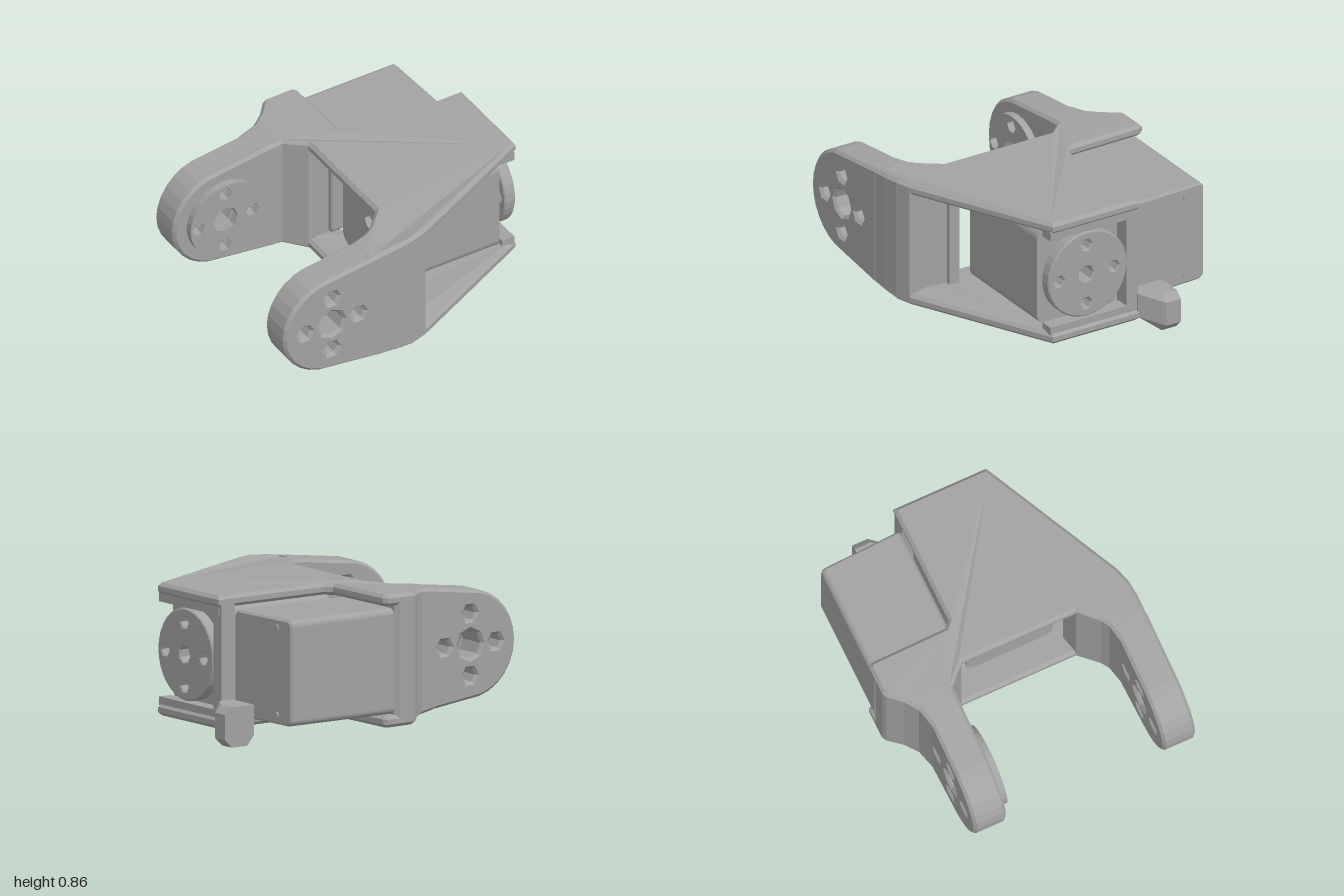
import * as THREE from 'three';
import { ConvexGeometry } from 'three/addons/geometries/ConvexGeometry.js';

const MID = 0.465; // height of all the axes

export function createModel() {
  const model = new THREE.Group();
  model.name = 'servoBracket';
  const grey = new THREE.MeshStandardMaterial({ color: 0xa2a2a2 });
  grey.name = 'grey';

  const add = (name, geometry) => {
    const mesh = new THREE.Mesh(geometry, grey);
    mesh.name = name;
    model.add(mesh);
    return mesh;
  };
  const shapeOf = (pts) => new THREE.Shape(pts.map(([x, y]) => new THREE.Vector2(x, y)));
  const ring = (cx, cy, r, n) => Array.from({ length: n }, (_, i) => {
    const a = (i / n) * Math.PI * 2;
    return [cx + r * Math.cos(a), cy + r * Math.sin(a)];
  });
  const addHoles = (shape, holes) => {
    for (const [x, y, r, n] of holes) {
      shape.holes.push(new THREE.Path(ring(x, y, r, n).map(([a, b]) => new THREE.Vector2(a, b))));
    }
    return shape;
  };
  // Extrusion with total thickness t and chamfer b inside the outline
  const extrude = (shape, t, b = 0) => {
    const g = new THREE.ExtrudeGeometry(shape, {
      depth: t - 2 * b, bevelEnabled: b > 0, bevelThickness: b, bevelSize: b,
      bevelOffset: -b, bevelSegments: 1, curveSegments: 6,
    });
    return g.translate(0, 0, b);
  };
  // Extrude a floor plan of [x, z] points upward between two heights
  const plan = (pts, y0, y1, b = 0) =>
    extrude(shapeOf(pts.map(([x, z]) => [x, -z])), y1 - y0, b).rotateX(-Math.PI / 2).translate(0, y0, 0);
  // Extrude a [-z, y] shape along x
  const alongX = (shape, x0, x1, b = 0) =>
    extrude(shape, x1 - x0, b).rotateY(Math.PI / 2).translate(x0, 0, 0);
  const box = (x0, x1, y0, y1, z0, z1) =>
    new THREE.BoxGeometry(x1 - x0, y1 - y0, z1 - z0).translate((x0 + x1) / 2, (y0 + y1) / 2, (z0 + z1) / 2);
  // Height narrows toward the arm tips
  const taper = (g) => {
    const p = g.attributes.position;
    for (let i = 0; i < p.count; i++) {
      const s = 1 - 0.27 * Math.max(0, -0.1 - p.getX(i));
      p.setY(i, MID + (p.getY(i) - MID) * s);
    }
    g.computeVertexNormals();
    return g;
  };
  const roundRect = (x0, x1, y0, y1, r) => {
    const s = new THREE.Shape();
    s.moveTo(x0 + r, y0);
    s.lineTo(x1 - r, y0);
    s.absarc(x1 - r, y0 + r, r, -Math.PI / 2, 0);
    s.lineTo(x1, y1 - r);
    s.absarc(x1 - r, y1 - r, r, 0, Math.PI / 2);
    s.lineTo(x0 + r, y1);
    s.absarc(x0 + r, y1 - r, r, Math.PI / 2, Math.PI);
    s.lineTo(x0, y0 + r);
    s.absarc(x0 + r, y0 + r, r, Math.PI, Math.PI * 1.5);
    return s;
  };

  // Top and bottom plates of the body
  const frontOuter = [[-0.42, 0.8], [-0.2, 0.8], [-0.1, 0.79], [0, 0.76]];
  const frontInner = [[-0.14, 0.43], [-0.25, 0.54], [-0.3, 0.57], [-0.42, 0.595]];
  const backInner = [[-0.42, -0.42], [-0.25, -0.42], [-0.14, -0.31]];
  const backOuter = [[-0.12, -0.815], [-0.15, -0.8], [-0.22, -0.72], [-0.3, -0.66], [-0.42, -0.63]];
  const outline = [
    ...frontOuter, [0.86, 0.345], [0.89, 0.33], [0.89, -0.27], [0.13, -0.27], [0.09, -0.31],
    [0.08, -0.79], [0.06, -0.815], ...backOuter, ...backInner, ...frontInner,
  ];
  add('topPlate', taper(plan(outline, 0.79, 0.86, 0.02)));
  add('bottomPlate', taper(plan(outline, 0.07, 0.14, 0.02)));

  // Solid walls joining the plates at the root of each arm
  add('frontWall', taper(plan([...frontOuter, [0, 0.5], [0.03, 0.5], [0.03, 0.43], [-0.02, 0.4],
    ...frontInner], 0.09, 0.84)));
  add('backWall', taper(plan([[0, -0.31], [0, -0.79], [-0.03, -0.815], ...backOuter, ...backInner], 0.09, 0.84)));

  // Arms with rounded tips and a cross of screw holes
  const screwCross = (cx, cy, d, r, n) =>
    [[d, 0], [-d, 0], [0, d], [0, -d]].map(([x, y]) => [cx + x, cy + y, r, n]);
  const armPts = [[-0.3, MID - 0.373]];
  for (let i = 0; i <= 12; i++) {
    const a = THREE.MathUtils.degToRad(256 - (152 * i) / 12);
    armPts.push([-0.67 + 0.33 * Math.cos(a), MID + 0.325 * Math.sin(a)]);
  }
  armPts.push([-0.3, MID + 0.373]);
  const armHoles = [[-0.67, MID, 0.085, 8], ...screwCross(-0.67, MID, 0.185, 0.045, 6)];
  for (const [name, z0] of [['frontArm', 0.592], ['backArm', -0.63]]) {
    add(name, extrude(addHoles(shapeOf(armPts), armHoles), 0.21, 0.018).translate(0, 0, z0));
  }

  // Horn disc on the inside of the back arm
  add('armHorn', extrude(addHoles(shapeOf(ring(-0.66, MID, 0.25, 32)), armHoles), 0.05).translate(0, 0, -0.425));

  // Inner motor with a bore along its axis, and its horn
  const bore = [-0.09, MID, 0.05, 7];
  add('innerMotor', alongX(addHoles(roundRect(-0.36, 0.2, 0.15, 0.78, 0.07), [bore]), 0.03, 0.76));
  add('motorHub', alongX(addHoles(shapeOf(ring(-0.08, MID, 0.22, 24)), [bore]), 0.75, 0.81));
  add('motorHorn', alongX(addHoles(shapeOf(ring(-0.08, MID, 0.275, 32)),
    [bore, ...screwCross(-0.09, MID, 0.19, 0.035, 6)]), 0.8, 0.875, 0.008));

  // Frame around the motor horn
  add('endPost', box(0.77, 0.87, 0.1, 0.83, -0.27, -0.19));
  for (const [name, y0, y1] of [['lowerLip', 0.13, 0.18], ['upperLip', 0.745, 0.8]]) {
    add(name, box(0.79, 0.875, y0, y1, -0.25, 0.34));
  }

  // Outer motor, its free end slightly slanted
  const outer = alongX(roundRect(0.275, 0.805, 0.145, 0.775, 0.04), 0, 0.78, 0.012);
  const p = outer.attributes.position;
  for (let i = 0; i < p.count; i++) {
    if (p.getX(i) > 0.5) p.setX(i, p.getX(i) + (p.getZ(i) + 0.27) * 0.05);
  }
  outer.computeVertexNormals();
  add('outerMotor', outer);
  for (const y of [0.2, 0.72]) {
    add('motorScrew', new THREE.CylinderGeometry(0.022, 0.022, 0.03, 6)
      .rotateZ(Math.PI / 2).translate(0.755, y, -0.67));
  }

  // Faceted cable tab at the lower corner
  const tab = [[0.79, 0.06], [0.84, 0], [0.95, 0], [1, 0.05], [1, 0.2], [0.96, 0.24], [0.79, 0.24]];
  const tabPts = [];
  for (const [x, y] of tab) {
    tabPts.push(new THREE.Vector3(x, y, -0.485), new THREE.Vector3(x, y, -0.385));
  }
  for (const x of [0.79, 0.88]) {
    for (const y of [0.09, 0.24]) tabPts.push(new THREE.Vector3(x, y, -0.265));
  }
  add('cableTab', new ConvexGeometry(tabPts));

  return model;
}
